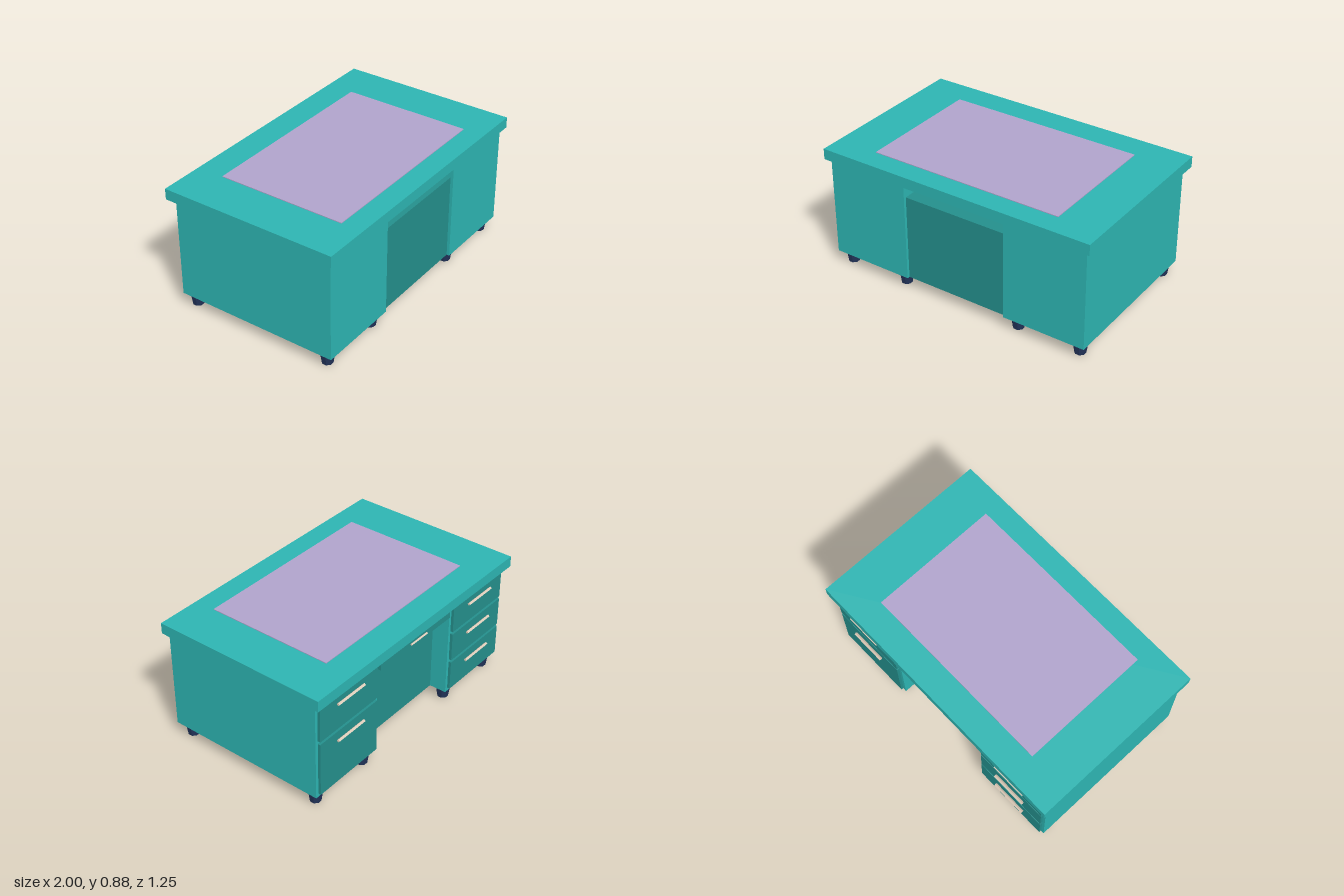
import * as THREE from 'three';

export function createModel() {
  const desk = new THREE.Group();
  desk.name = 'desk';

  const material = (name, color) => {
    const m = new THREE.MeshStandardMaterial({ color });
    m.name = name;
    return m;
  };
  const teal = material('teal', 0x2db5b2);
  const darkTeal = material('dark teal', 0x248f8c);
  const lilac = material('lilac', 0xb0a3cc);
  const navy = material('navy', 0x22335a);
  navy.flatShading = true;
  const beige = material('beige', 0xdccbb8);
  beige.flatShading = true;

  const add = (name, geometry, mat) => {
    const mesh = new THREE.Mesh(geometry, mat);
    mesh.name = name;
    desk.add(mesh);
    return mesh;
  };
  // Box given by its extents along each axis
  const box = (name, mat, [x0, x1], [y0, y1], [z0, z1]) =>
    add(name, new THREE.BoxGeometry(x1 - x0, y1 - y0, z1 - z0), mat)
      .position.set((x0 + x1) / 2, (y0 + y1) / 2, (z0 + z1) / 2);
  // Four-sided bar handle lying along x
  const handle = (x, y, length, radius) => {
    const bar = new THREE.CylinderGeometry(radius, radius, length, 4).rotateZ(Math.PI / 2);
    add('drawerHandle', bar, beige).position.set(x, y, -0.607);
  };

  // Table top and writing mat
  box('tableTop', teal, [-1, 1], [0.797, 0.873], [-0.625, 0.625]);
  box('writingMat', lilac, [-0.69, 0.69], [0.873, 0.878], [-0.43, 0.475]);

  // Pedestals with their stacks of drawers: [bottom, top] of each front
  const stacks = {
    1: [[0.523, 0.777], [0.115, 0.503]],
    [-1]: [[0.575, 0.777], [0.35, 0.555], [0.115, 0.33]],
  };
  for (const side of [1, -1]) {
    const span = (a, b) => (side > 0 ? [a, b] : [-b, -a]);
    box('pedestal', teal, span(0.378, 0.967), [0.09, 0.797], [-0.573, 0.595]);
    for (const [bottom, top] of stacks[side]) {
      box('drawerFront', darkTeal, span(0.4, 0.946), [bottom, top], [-0.592, -0.572]);
      handle(side * 0.673, top - 0.056, 0.25, 0.011);
    }

    // Tapered feet
    for (const x of [0.445, 0.9]) {
      for (const z of [-0.51, 0.52]) {
        const foot = new THREE.CylinderGeometry(0.051, 0.038, 0.09, 8).rotateY(Math.PI / 8);
        add('foot', foot, navy).position.set(side * x, 0.045, z);
      }
    }
  }

  // Centre body between the pedestals, with a shallow drawer above it
  box('centreBody', darkTeal, [-0.378, 0.378], [0.09, 0.695], [-0.45, 0.575]);
  box('centreDrawer', darkTeal, [-0.363, 0.363], [0.706, 0.792], [-0.587, 0]);
  handle(0, 0.75, 0.165, 0.008);

  return desk;
}
